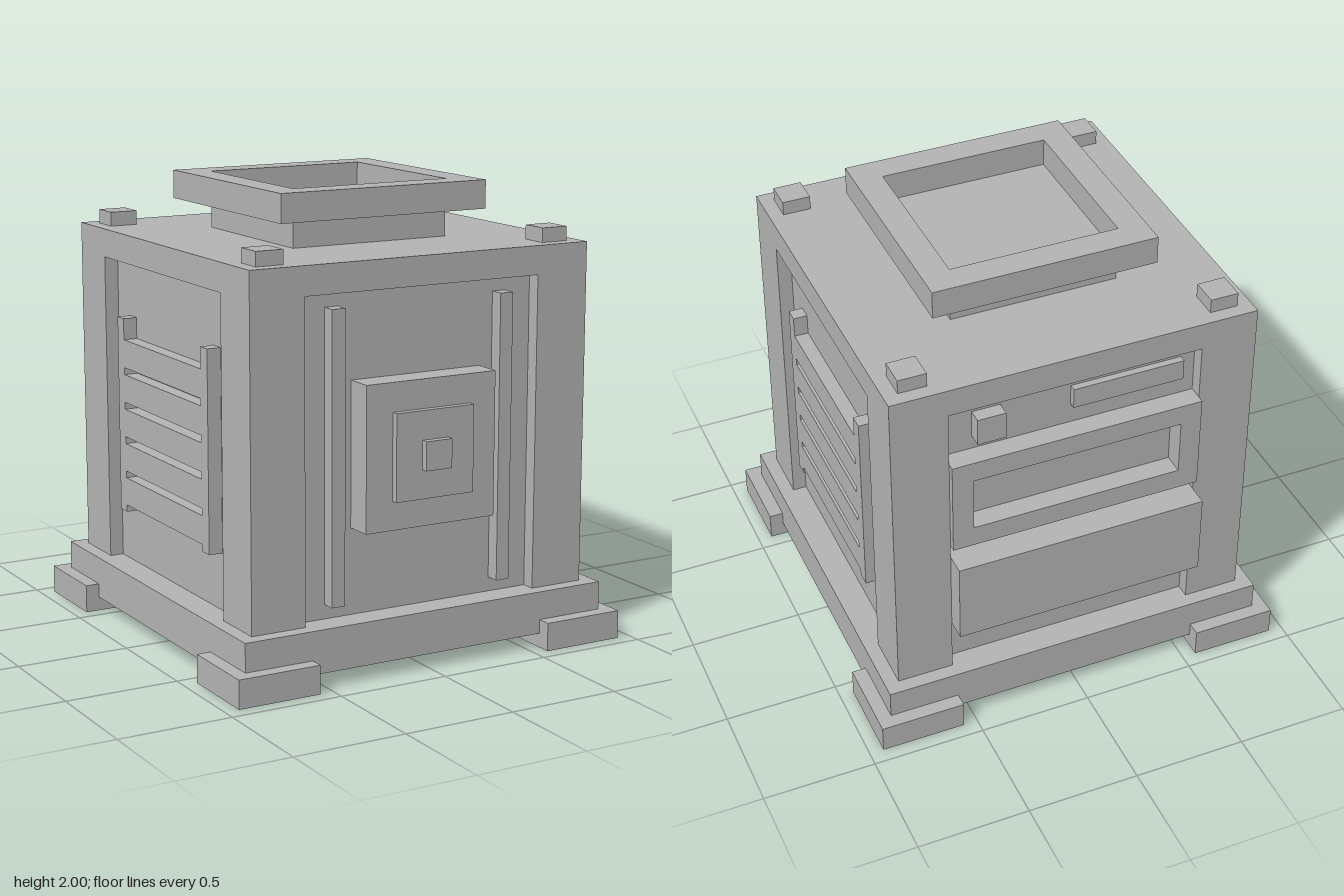
import * as THREE from 'three';

export function createModel() {
  const model = new THREE.Group();
  model.name = 'furnace';
  const grey = new THREE.MeshStandardMaterial({ color: 0xb3b3b3 });
  grey.name = 'grey';

  // Box given by its x, y and z extents
  const box = (name, [x0, x1], [y0, y1], [z0, z1], parent = model) => {
    const mesh = new THREE.Mesh(new THREE.BoxGeometry(x1 - x0, y1 - y0, z1 - z0), grey);
    mesh.position.set((x0 + x1) / 2, (y0 + y1) / 2, (z0 + z1) / 2);
    mesh.name = name;
    parent.add(mesh);
    return mesh;
  };
  // Span from a to b, mirrored when s is -1
  const span = (s, a, b) => (s > 0 ? [a, b] : [-b, -a]);
  const wide = (h) => [-h, h];

  // Square-edged plate with a rectangular hole, extruded along +z
  const frame = (name, w, h, holeW, holeH, depth) => {
    const shape = new THREE.Shape();
    shape.moveTo(-w, -h).lineTo(w, -h).lineTo(w, h).lineTo(-w, h).closePath();
    const hole = new THREE.Path();
    hole.moveTo(-holeW, -holeH).lineTo(-holeW, holeH).lineTo(holeW, holeH).lineTo(holeW, -holeH).closePath();
    shape.holes.push(hole);
    const mesh = new THREE.Mesh(new THREE.ExtrudeGeometry(shape, { depth, bevelEnabled: false }), grey);
    mesh.name = name;
    model.add(mesh);
    return mesh;
  };

  // Base and body: a core set back behind the corner posts and top slab
  box('base', wide(0.875), [0.0625, 0.25], wide(0.875));
  box('bodyCore', wide(0.75), [0.25, 1.625], wide(0.75));
  box('topSlab', wide(0.8125), [1.625, 1.75], wide(0.8125));

  // Feet, corner posts and top studs at the four corners
  for (const sx of [-1, 1]) {
    for (const sz of [-1, 1]) {
      box('foot', span(sx, 0.5625, 0.9375), [0, 0.125], span(sz, 0.5625, 0.9375));
      box('cornerPost', span(sx, 0.5625, 0.8125), [0.25, 1.625], span(sz, 0.5625, 0.8125));
      box('topStud', span(sx, 0.625, 0.75), [1.75, 1.8125], span(sz, 0.625, 0.75));
    }
  }

  // Chimney: neck and hollow rim
  box('chimneyNeck', wide(0.375), [1.75, 1.875], wide(0.375));
  const rim = frame('chimneyRim', 0.5, 0.5, 0.375, 0.375, 0.125);
  rim.rotation.x = -Math.PI / 2;
  rim.position.y = 1.875;

  // Front: two rails and a stepped square boss
  for (const s of [-1, 1]) {
    box('frontRail', span(s, 0.375, 0.4375), [0.3125, 1.5625], [0.75, 0.8125]);
  }
  box('bossPlate', wide(0.3125), [0.625, 1.25], [0.75, 0.875]);
  box('bossStep', wide(0.1875), [0.75, 1.125], [0.875, 0.9063]);
  box('bossKnob', wide(0.0625), [0.875, 1], [0.9063, 0.9375]);

  // Sides: vents of five slats between two rails
  for (const s of [-1, 1]) {
    const vent = new THREE.Group();
    vent.name = s > 0 ? 'leftVent' : 'rightVent';
    model.add(vent);
    const depth = span(s, 0.75, 0.8125);
    for (const sz of [-1, 1]) {
      box('ventRail', depth, [0.5, 1.375], span(sz, 0.375, 0.4375), vent);
    }
    for (let i = 0; i < 5; i++) {
      const y = 0.53125 + i * 0.15625;
      box('ventSlat', depth, [y, y + 0.125], wide(0.375), vent);
    }
  }

  // Back: hatch frame, drawer, button and label plate
  const hatch = frame('hatchFrame', 0.5625, 0.21875, 0.46875, 0.125, 0.09375);
  hatch.position.set(0, 1.15625, -0.84375);
  box('drawer', wide(0.5625), [0.5, 0.875], [-0.9063, -0.75]);
  box('button', [0.3125, 0.4375], [1.4375, 1.5625], [-0.8125, -0.75]);
  box('labelPlate', [-0.5, 0], [1.46875, 1.5625], [-0.78125, -0.75]);

  return model;
}
